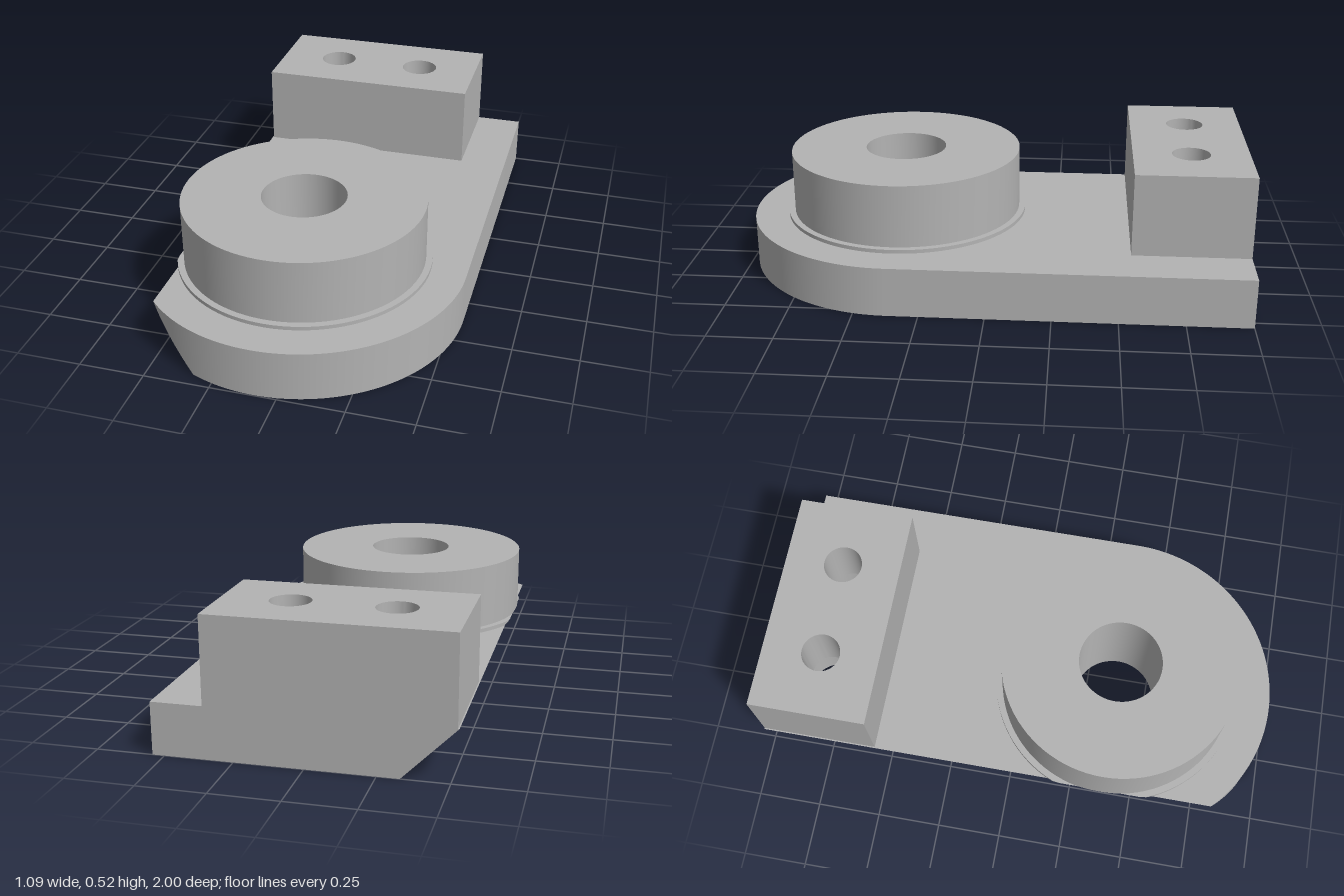
import * as THREE from 'three';
import { mergeGeometries, toCreasedNormals } from 'three/addons/utils/BufferGeometryUtils.js';

// Outlines are drawn in plan as (x, s) with s = -z, counter-clockwise from above.
const TAU = Math.PI * 2;
const CUT = -0.33;                       // the sloped cut is the plane x + y = CUT
const LEFT = -0.525, RIGHT = 0.544, BACK = 1;
const PLATE_TOP = 0.195, FLANGE_TOP = 0.21, BOSS_TOP = 0.46, BLOCK_TOP = 0.52;
const CX = -0.083, CS = -0.37, END_R = 0.627;
const BOLT_X = [-0.27, 0.105], BOLT_S = 0.772, BOLT_R = 0.075, BORE_R = 0.135, BORE_TOP = 0.26;

const P = (x, s) => new THREE.Vector2(x, s);
const lift = (x, y) => Math.max(y, CUT - x);

function arc(cx, cs, r, a0 = 0, a1 = TAU, n = 72) {
  const full = Math.abs(a1 - a0) > TAU - 1e-6;
  return Array.from({ length: full ? n : n + 1 }, (_, i) => {
    const a = a0 + (a1 - a0) * i / n;
    return P(cx + r * Math.cos(a), cs + r * Math.sin(a));
  });
}

function geometry(positions) {
  const g = new THREE.BufferGeometry();
  g.setAttribute('position', new THREE.Float32BufferAttribute(positions, 3));
  return g;
}

// Flat face with holes; facing down it follows the sloped cut
function cap(outline, holes, y, down = false) {
  const shape = new THREE.Shape(outline);
  shape.holes = holes.map((h) => new THREE.Path(h));
  const src = new THREE.ShapeGeometry(shape).toNonIndexed().attributes.position;
  const out = [];
  for (let i = 0; i < src.count; i += 3) {
    for (const k of down ? [0, 2, 1] : [0, 1, 2]) {
      const x = src.getX(i + k);
      out.push(x, down ? lift(x, y) : y, -src.getY(i + k));
    }
  }
  return geometry(out);
}

// Upright wall round an outline, trimmed below by the sloped cut
function wall(points, y0, y1, inward = false) {
  const pts = inward ? [...points].reverse() : points;
  const out = [];
  pts.forEach((a, i) => {
    const b = pts[(i + 1) % pts.length];
    const ya = Math.min(lift(a.x, y0), y1), yb = Math.min(lift(b.x, y0), y1);
    if (yb < y1 - 1e-5) out.push(a.x, ya, -a.y, b.x, yb, -b.y, b.x, y1, -b.y);
    if (ya < y1 - 1e-5) out.push(a.x, ya, -a.y, b.x, y1, -b.y, a.x, y1, -a.y);
  });
  return geometry(out);
}

export function createModel() {
  const group = new THREE.Group();
  const grey = new THREE.MeshStandardMaterial({ color: 0xb3b3b3 });
  grey.name = 'grey metal';
  const add = (name, parts) => {
    const mesh = new THREE.Mesh(toCreasedNormals(mergeGeometries(parts), 0.5), grey);
    mesh.name = name;
    group.add(mesh);
  };

  const bore = arc(CX, CS, 0.163);
  const bolts = BOLT_X.map((x) => arc(x, BOLT_S, BOLT_R, 0, TAU, 48));
  const counterbores = BOLT_X.map((x) => arc(x, BOLT_S, BORE_R, 0, TAU, 96));

  // Base plate: rounded front end, sloped cut along one side
  const aLeft = TAU - Math.acos((LEFT - CX) / END_R);
  const aCut = TAU - Math.acos((CUT - CX) / END_R);
  const sideArc = arc(CX, CS, END_R, aLeft, aCut, 16);
  const frontArc = arc(CX, CS, END_R, aCut, TAU, 56);
  const outline = [P(LEFT, BACK), ...sideArc, ...frontArc.slice(1), P(RIGHT, BACK), P(CUT, BACK)];
  const aNotch = Math.acos((CUT - BOLT_X[0]) / BORE_R);
  const flat = [P(CUT, BACK), ...arc(BOLT_X[0], BOLT_S, BORE_R, aNotch, -aNotch, 48),
    ...frontArc, P(RIGHT, BACK)];
  const slope = [P(LEFT, BACK), ...sideArc,
    ...arc(BOLT_X[0], BOLT_S, BORE_R, TAU - aNotch, aNotch, 32), P(CUT, BACK)];
  add('basePlate', [
    wall(outline, 0, PLATE_TOP),
    cap(outline, [bore, ...counterbores], PLATE_TOP),
    cap(flat, [bore, counterbores[1]], 0, true),
    cap(slope, [], 0, true),
  ]);

  // Thin flange, trimmed by the sloped cut
  const flange = arc(CX, CS, 0.49, 0, TAU, 96).map((p) => P(Math.max(p.x, CUT - FLANGE_TOP), p.y));
  add('flange', [
    wall(flange, PLATE_TOP, FLANGE_TOP),
    cap(flange, [bore], FLANGE_TOP),
    cap(flange, [bore], PLATE_TOP, true),
  ]);

  // Round boss and its through bore
  const boss = arc(CX, CS, 0.465, 0, TAU, 96);
  add('boss', [
    wall(boss, FLANGE_TOP, BOSS_TOP),
    cap(boss, [bore], BOSS_TOP),
    cap(boss, [bore], FLANGE_TOP, true),
  ]);
  add('bossBore', [wall(bore, 0, BOSS_TOP, true)]);

  // Rear block
  const block = [P(-0.52, 0.545), P(0.355, 0.545), P(0.355, BACK), P(-0.52, BACK)];
  add('rearBlock', [wall(block, PLATE_TOP, BLOCK_TOP), cap(block, bolts, BLOCK_TOP)]);

  // Bolt holes, counterbored from below
  bolts.forEach((hole, i) => add('boltHole', [
    wall(hole, BORE_TOP, BLOCK_TOP, true),
    wall(counterbores[i], 0, BORE_TOP, true),
    cap(counterbores[i], [hole], BORE_TOP, true),
  ]));

  return group;
}
